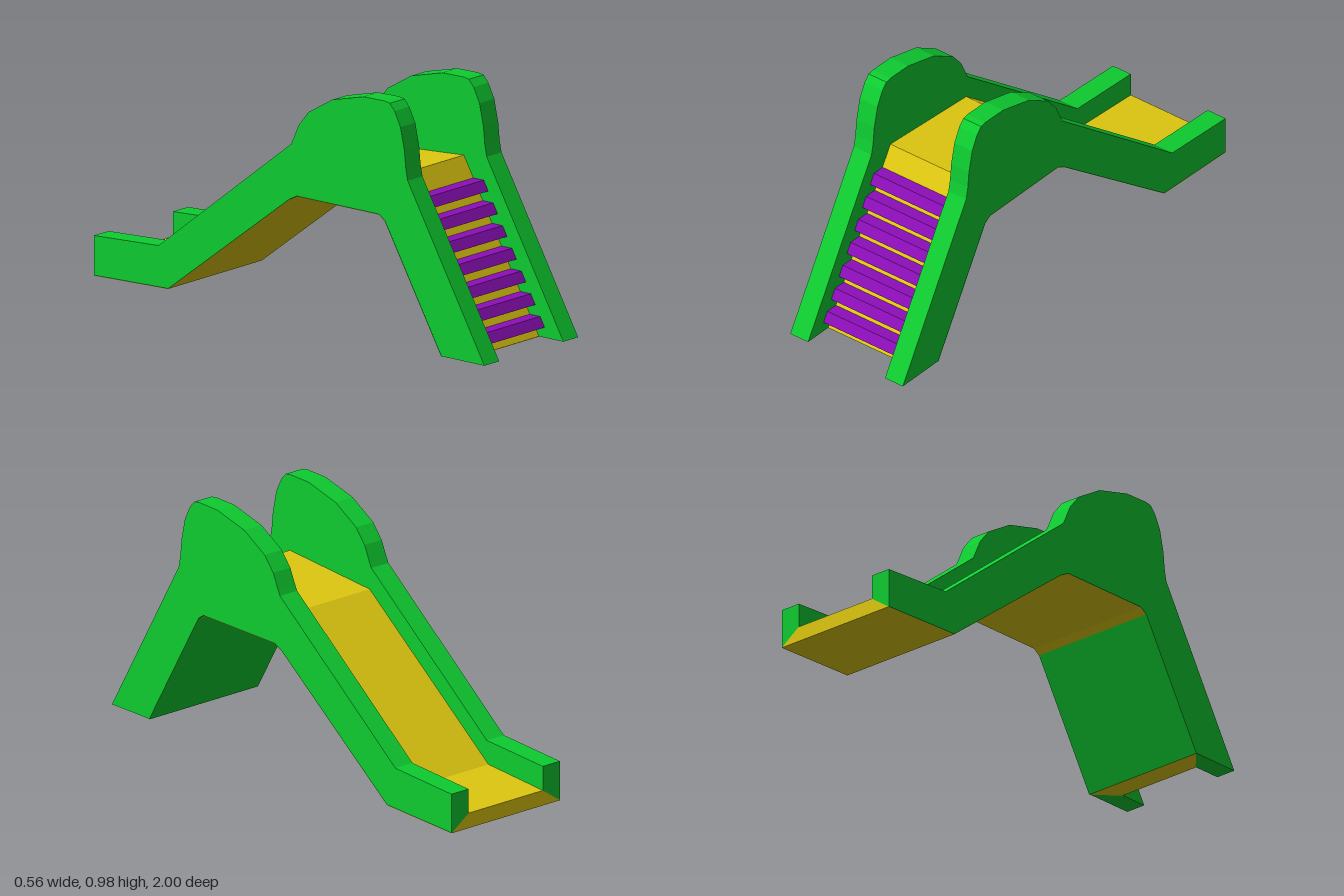
import * as THREE from 'three';

const INNER = 0.193, OUTER = 0.282; // inner and outer half widths of the side walls

// Extrudes a [z, y] outline across x from x0 to x1.
function slab(name, outline, x0, x1, material) {
  const shape = new THREE.Shape(outline.map(([z, y]) => new THREE.Vector2(z, y)));
  const geometry = new THREE.ExtrudeGeometry(shape, { depth: x1 - x0, bevelEnabled: false });
  geometry.rotateY(-Math.PI / 2).translate(x1, 0, 0);
  const mesh = new THREE.Mesh(geometry, material);
  mesh.name = name;
  return mesh;
}

// Flat skin under the slide: rows of [half width, y, z], sitting just outside the walls.
function skin(name, rows, material) {
  const points = [];
  for (let i = 0; i < rows.length - 1; i++) {
    const [a, b, c, d] = [[-1, i], [1, i], [1, i + 1], [-1, i + 1]].map(([s, k]) => {
      const [w, y, z] = rows[k];
      return [s * w, y - 0.002, z - 0.001];
    });
    points.push(...a, ...d, ...c, ...a, ...c, ...b);
  }
  const geometry = new THREE.BufferGeometry();
  geometry.setAttribute('position', new THREE.Float32BufferAttribute(points, 3));
  geometry.computeVertexNormals();
  const mesh = new THREE.Mesh(geometry, material);
  mesh.name = name;
  return mesh;
}

export function createModel() {
  const group = new THREE.Group();
  group.name = 'playgroundSlide';
  const green = new THREE.MeshStandardMaterial({ name: 'green', color: 0x0ecc30, side: THREE.DoubleSide });
  const yellow = new THREE.MeshStandardMaterial({ name: 'yellow', color: 0xdec810, side: THREE.DoubleSide });
  const purple = new THREE.MeshStandardMaterial({ name: 'purple', color: 0x8c0eb8 });

  // Underside line shared by walls and bed, from the slide end to the ladder foot
  const underside = [[-1, 0.02], [-0.62, 0.032], [0, 0.5], [0.04, 0.52], [0.46, 0.52], [0.49, 0.5], [0.78, 0.002]];

  // Side walls with a rounded hump beside the platform
  const wall = [
    [1, 0.002], [0.607, 0.68], [0.597, 0.73], [0.59, 0.8], [0.57, 0.89], [0.54, 0.95],
    [0.515, 0.977], [0.49, 0.982], [0.38, 0.98], [0.22, 0.94], [0.1, 0.87], [0.05, 0.81],
    [0.02, 0.745], [0.01, 0.725], [-0.67, 0.197], [-1, 0.18], ...underside,
  ];
  group.add(slab('leftWall', wall, INNER, OUTER, green));
  group.add(slab('rightWall', wall, -OUTER, -INNER, green));

  // Ladder slope, platform, slide bed and run-out
  const bed = [[0.875, 0.002], [0.49, 0.667], [0.02, 0.635], [-0.68, 0.1], [-1, 0.08], ...underside];
  group.add(slab('slideBed', bed, -INNER, INNER, yellow));

  // Ladder treads, their fronts parallel to the ladder slope
  const slopeZ = (y) => 0.875 - y * 0.578;
  for (let i = 0; i < 7; i++) {
    const y0 = 0.043 + i * 0.0833, y1 = y0 + 0.0405;
    const tread = [
      [slopeZ(y0) - 0.02, y0], [slopeZ(y0) + 0.054, y0],
      [slopeZ(y1) + 0.054, y1], [slopeZ(y1) - 0.02, y1],
    ];
    group.add(slab('tread', tread, -INNER, INNER, purple));
  }

  // Full-width skins: ladder foot, ladder back, slide underside with its mitred end
  const under = underside.map(([z, y]) => [OUTER, y, z]).reverse();
  group.add(skin('ladderFoot', [[INNER, 0.002, 0.875], under[0]], yellow));
  group.add(skin('ladderBack', under.slice(0, 2), green));
  group.add(skin('slideUnderside', [...under.slice(1), [INNER, 0.082, -1]], yellow));

  return group;
}
